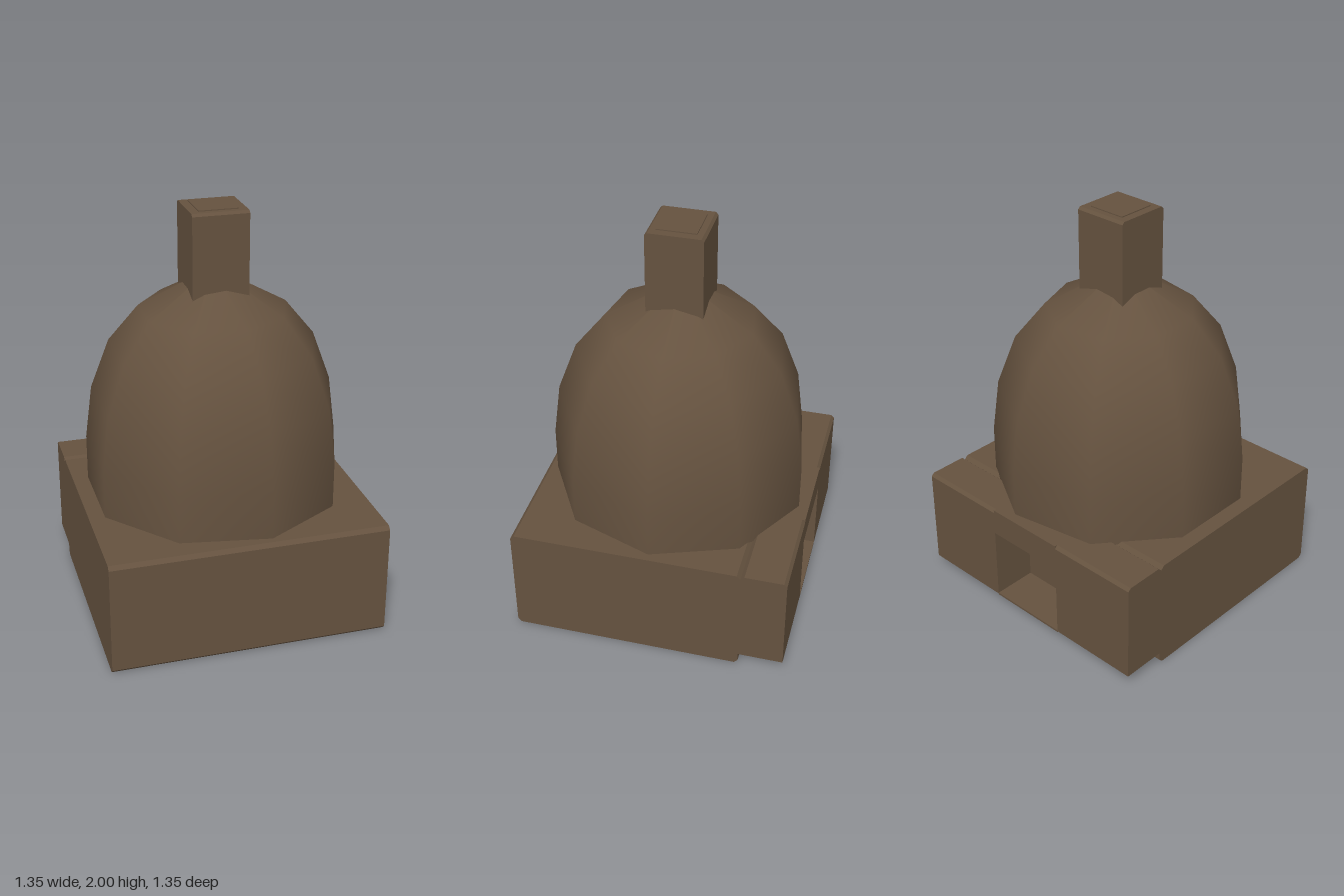
import * as THREE from 'three';

// Bar running along x, from a z/y outline with chamfered corners.
// Chamfers: front bottom, front top, back top, back bottom.
function bar(x0, x1, z0, z1, y0, y1, [fb, ft, bt, bb]) {
  const pts = [
    [z0 + bb, y0], [z1 - fb, y0], [z1, y0 + fb], [z1, y1 - ft],
    [z1 - ft, y1], [z0 + bt, y1], [z0, y1 - bt], [z0, y0 + bb],
  ].map(([z, y]) => new THREE.Vector2(z, y));
  const clean = pts.filter((p, i) => p.distanceTo(pts[(i + 1) % pts.length]) > 1e-6);
  const geo = new THREE.ExtrudeGeometry(new THREE.Shape(clean), { depth: x1 - x0, bevelEnabled: false });
  geo.rotateY(-Math.PI / 2);
  geo.translate(x1, 0, 0);
  return geo;
}

export function createModel() {
  const group = new THREE.Group();
  const brown = new THREE.MeshStandardMaterial({ color: 0x65523f });
  brown.name = 'brown';
  const add = (name, geo) => {
    const mesh = new THREE.Mesh(geo, brown);
    mesh.name = name;
    group.add(mesh);
  };

  // Main block of the base
  add('baseBlock', bar(-0.675, 0.675, -0.455, 0.675, 0, 0.57, [0.018, 0.018, 0.018, 0.018]));

  // Raised rear section: two side blocks, a bridge and a thin floor around the recess
  for (const side of [-1, 1]) {
    const a = side < 0 ? -0.675 : 0.21;
    add(side < 0 ? 'rearBlockRight' : 'rearBlockLeft',
      bar(a, a + 0.465, -0.675, -0.455, 0.06, 0.57, [0, 0.018, 0.015, 0]));
  }
  add('rearBridge', bar(-0.21, 0.21, -0.675, -0.455, 0.435, 0.57, [0, 0.018, 0, 0]));
  add('recessFloor', bar(-0.21, 0.21, -0.675, -0.455, 0.055, 0.065, [0, 0, 0, 0]));

  // Nine-sided smooth dome
  const profile = [
    [0.635, 0.555], [0.635, 0.8], [0.6, 1.07], [0.507, 1.32], [0.36, 1.5], [0, 1.7],
  ].map(([r, y]) => new THREE.Vector2(r, y));
  add('dome', new THREE.LatheGeometry(profile, 9, Math.PI / 2));

  // Square stem with a thin cap plate
  add('stem', bar(-0.136, 0.136, -0.136, 0.136, 1.55, 1.995, [0, 0.012, 0.012, 0]));
  const cap = new THREE.BoxGeometry(0.19, 0.008, 0.19);
  cap.translate(0, 1.996, 0);
  add('stemCap', cap);

  return group;
}
